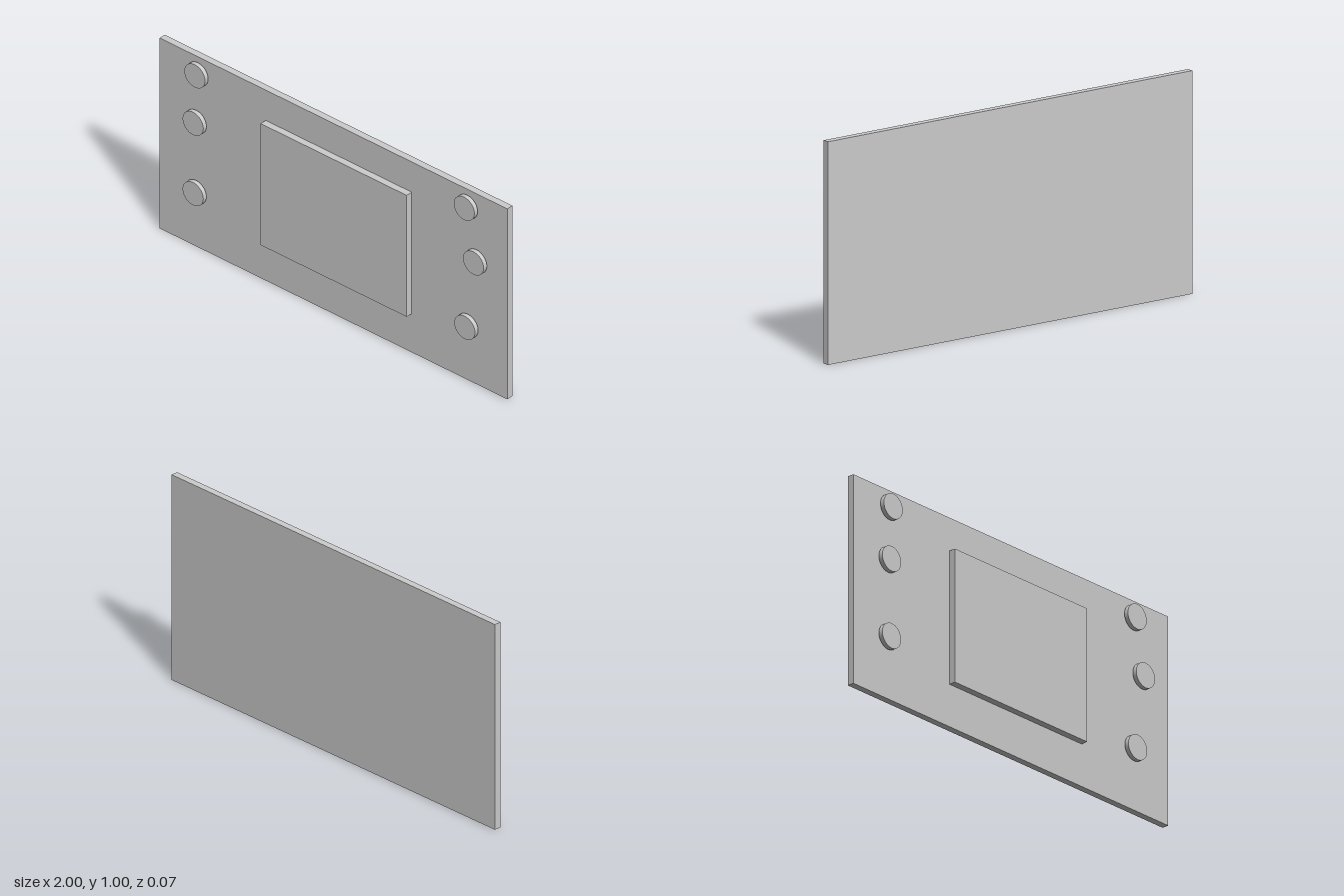
import * as THREE from 'three';

export function createModel() {
  const model = new THREE.Group();
  const material = new THREE.MeshStandardMaterial({ color: 0xcccccc });

  function add(name, geometry, x, y, z) {
    const mesh = new THREE.Mesh(geometry, material);
    mesh.name = name;
    mesh.position.set(x, y, z);
    model.add(mesh);
  }

  // Flat back panel
  add('panel', new THREE.BoxGeometry(2, 1, 0.033), 0, 0.5, -0.0165);

  // Raised screen, slightly off centre
  add('screen', new THREE.BoxGeometry(0.84, 0.638, 0.033), 0.03, 0.522, 0.0165);

  // Round buttons, set just clear of the panel
  const buttonGeometry = new THREE.CylinderGeometry(0.0595, 0.0595, 0.021, 48).rotateX(Math.PI / 2);
  const buttons = [
    ['rightTopButton', -0.775, 0.915],
    ['rightMiddleButton', -0.785, 0.661],
    ['rightBottomButton', -0.785, 0.292],
    ['leftTopButton', 0.775, 0.915],
    ['leftMiddleButton', 0.828, 0.652],
    ['leftBottomButton', 0.778, 0.291],
  ];
  for (const [name, x, y] of buttons) add(name, buttonGeometry, x, y, 0.0165);

  return model;
}
